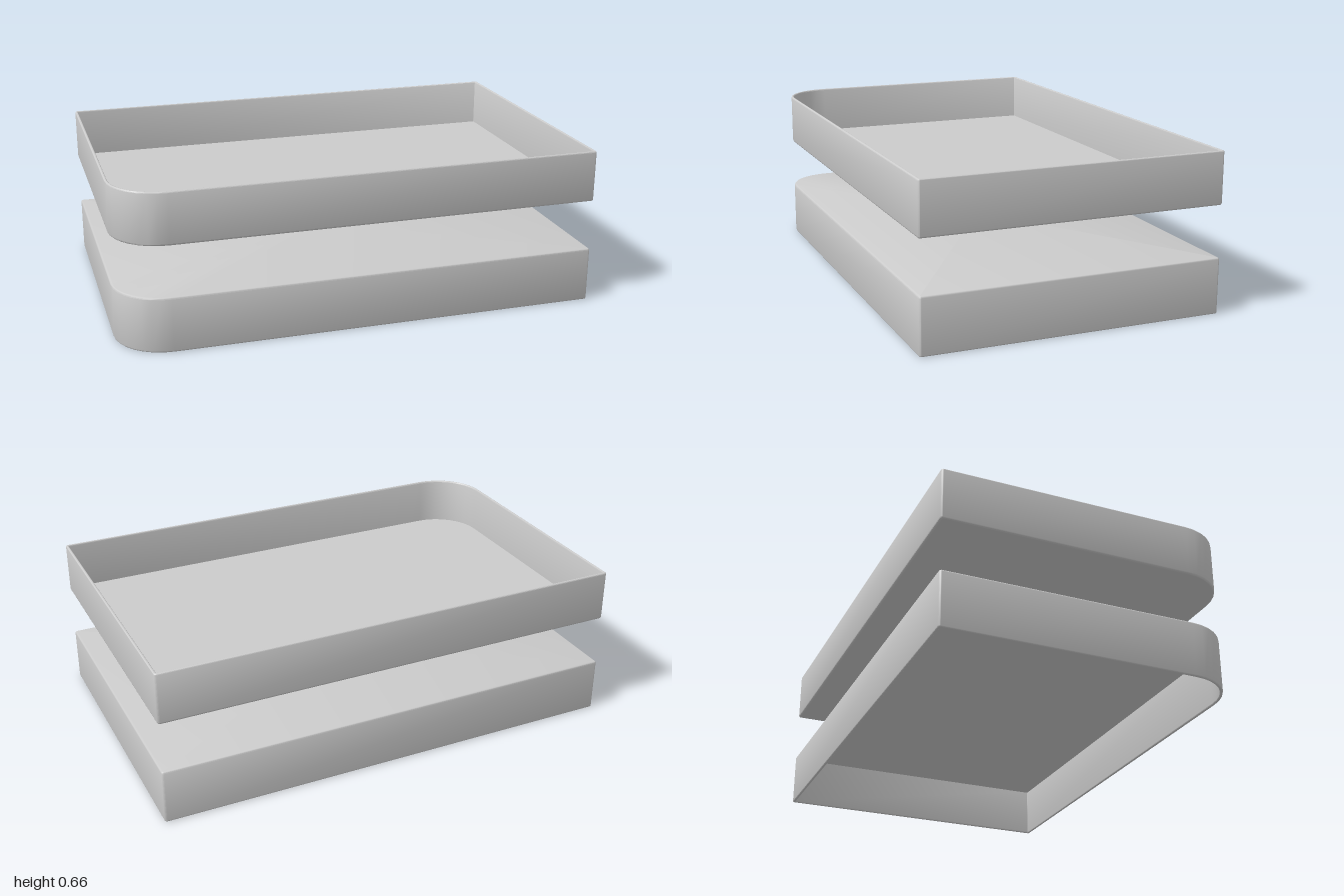
import * as THREE from 'three';
import { toCreasedNormals } from 'three/addons/utils/BufferGeometryUtils.js';

const HALF_X = 1, HALF_Z = 0.628, WALL = 0.012, EDGE = 0.008;
const CORNER_STEPS = 8;

// Corners in order around the plan: sign of x, sign of z, radius
const CORNERS = [[1, 1, 0.01], [-1, 1, 0.21], [-1, -1, 0.01], [1, -1, 0.01]];

// Plan outline moved inwards by a distance; no distance gives the centre point
function outline(inset) {
  const points = [];
  CORNERS.forEach(([sx, sz, radius], k) => {
    const r = inset === null ? 0 : Math.max(radius - inset, 0.001);
    const cx = inset === null ? 0 : sx * (HALF_X - inset - r);
    const cz = inset === null ? 0 : sz * (HALF_Z - inset - r);
    for (let i = 0; i <= CORNER_STEPS; i++) {
      const a = (k + i / CORNER_STEPS) * Math.PI / 2;
      points.push([cx + r * Math.cos(a), cz + r * Math.sin(a)]);
    }
  });
  return points;
}

// Skin a list of [inset, y] profile points around the plan outline
function skin(profile) {
  const positions = [], index = [];
  let n = 0;
  for (const [inset, y] of profile) {
    const ring = outline(inset);
    n = ring.length;
    for (const [x, z] of ring) positions.push(x, y, z);
  }
  for (let i = 0; i < profile.length - 1; i++) {
    for (let j = 0; j < n; j++) {
      const a = i * n + j, b = i * n + (j + 1) % n;
      if (profile[i][0] !== null) index.push(a, a + n, b);
      if (profile[i + 1][0] !== null) index.push(b, a + n, b + n);
    }
  }
  const geometry = new THREE.BufferGeometry();
  geometry.setAttribute('position', new THREE.Float32BufferAttribute(positions, 3));
  geometry.setIndex(index);
  return toCreasedNormals(geometry, 0.6);
}

// Thin-walled shell: softened floor edge, outer wall, softened rim, inner wall, inner floor
function shellProfile(height) {
  const profile = [[null, 0]];
  for (let i = 0; i <= 3; i++) {
    const a = i * Math.PI / 6;
    profile.push([EDGE * (1 - Math.sin(a)), EDGE * (1 - Math.cos(a))]);
  }
  const rim = WALL / 2;
  for (let i = 0; i <= 6; i++) {
    const a = i * Math.PI / 6;
    profile.push([rim * (1 - Math.cos(a)), height - rim + rim * Math.sin(a)]);
  }
  profile.push([WALL, WALL], [null, WALL]);
  return profile;
}

export function createModel() {
  const model = new THREE.Group();
  model.name = 'trayAndCover';
  const material = new THREE.MeshStandardMaterial({ color: 0xcccccc });

  // Upper tray, open at the top
  const tray = new THREE.Mesh(skin(shellProfile(0.218)), material);
  tray.name = 'upperTray';
  tray.position.y = 0.446;
  model.add(tray);

  // Lower cover, the same shell turned over so it is open underneath
  const height = 0.232;
  const flipped = shellProfile(height).map(([d, y]) => [d, height - y]).reverse();
  const cover = new THREE.Mesh(skin(flipped), material);
  cover.name = 'lowerCover';
  model.add(cover);

  return model;
}
